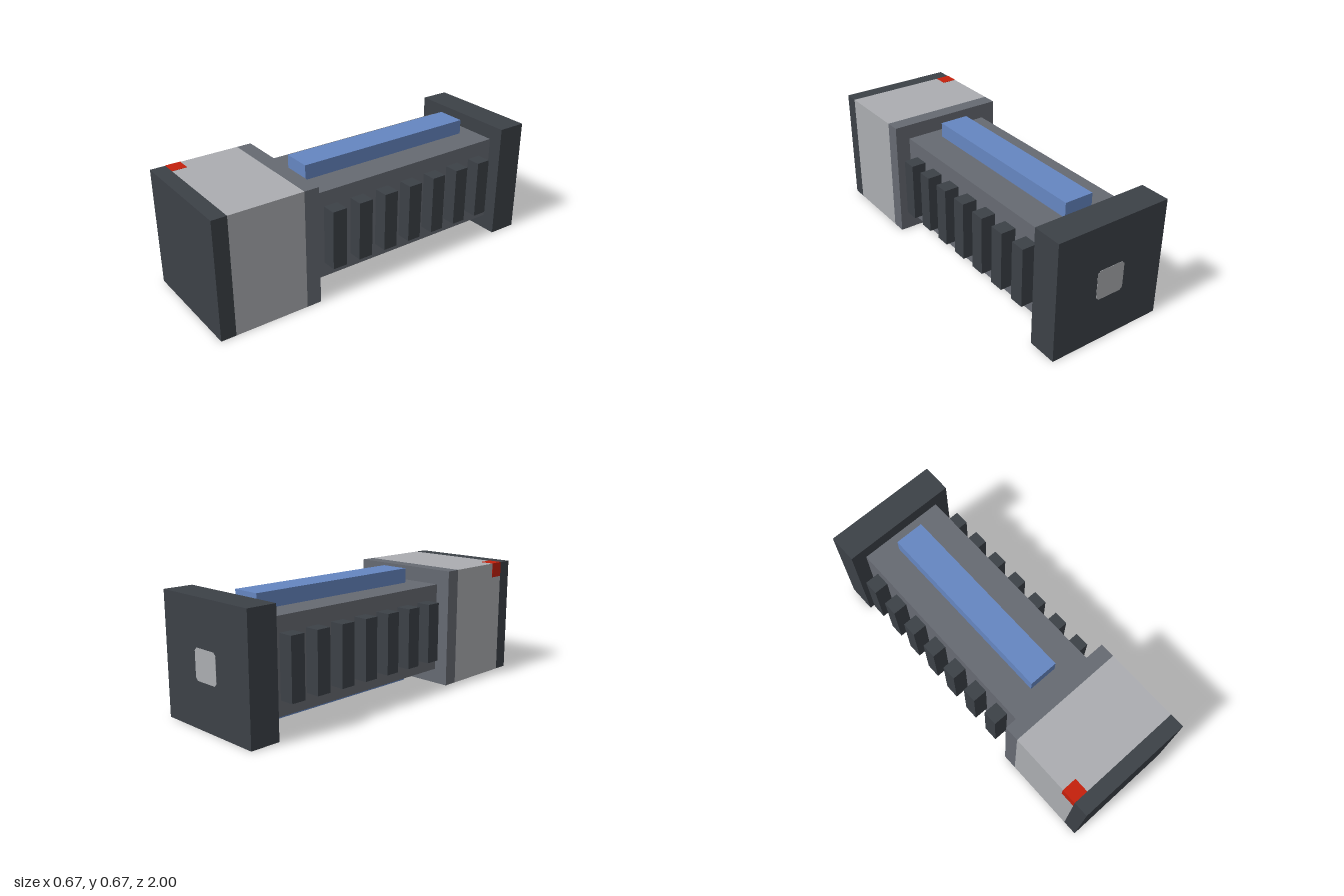
import * as THREE from 'three';

// All parts sit on a grid of 24 units along the length
const U = 1 / 12;

export function createModel() {
  const group = new THREE.Group();
  const material = (name, color) => {
    const m = new THREE.MeshStandardMaterial({ color });
    m.name = name;
    return m;
  };
  const dark = material('dark grey', 0x3c4147);
  const mid = material('mid grey', 0x666a72);
  const light = material('light grey', 0xabadb1);
  const blue = material('blue', 0x6586c1);
  const red = material('red', 0xc4200c);

  // Box between two corners given in grid units
  const block = (name, mat, [x0, y0, z0], [x1, y1, z1]) => {
    const mesh = new THREE.Mesh(
      new THREE.BoxGeometry((x1 - x0) * U, (y1 - y0) * U, (z1 - z0) * U), mat);
    mesh.position.set((x0 + x1) / 2 * U, (y0 + y1) / 2 * U, (z0 + z1) / 2 * U);
    mesh.name = name;
    group.add(mesh);
  };

  // Head: dark cap, light housing, mid grey collar
  block('frontCap', dark, [-4, 0, 11], [4, 8, 12]);
  block('headHousing', light, [-4, 0, 6], [4, 8, 11]);
  block('headCollar', mid, [-4, 0, 5], [4, 8, 6]);

  // Red lamp wrapping the top corner of the housing
  const e = 0.015;
  block('indicatorLamp', red, [-4 - e, 7, 10], [-3, 8 + e, 11]);

  // Handle body and rear flange
  block('handleBody', mid, [-3, 1, -10], [3, 7, 5]);
  block('rearFlange', dark, [-4, 0, -12], [4, 8, -10]);

  // Blue strips above and below
  block('topStrip', blue, [-1, 7, -9], [1, 8, 4]);
  block('bottomStrip', blue, [-1, 0, -9], [1, 1, 4]);

  // Grip ribs on both sides
  for (let i = 0; i < 7; i++) {
    const z = 3 - 2 * i;
    block('leftGripRib', dark, [3, 2, z], [4, 6, z + 1]);
    block('rightGripRib', dark, [-4, 2, z], [-3, 6, z + 1]);
  }

  // Light plate with clipped corners on the rear flange
  const a = U, c = U * 0.82;
  const outline = new THREE.Shape(
    [[-c, -a], [c, -a], [a, -c], [a, c], [c, a], [-c, a], [-a, c], [-a, -c]]
      .map(([x, y]) => new THREE.Vector2(x, y)));
  const plate = new THREE.Mesh(
    new THREE.ExtrudeGeometry(outline, { depth: 0.002, bevelEnabled: false }), light);
  plate.position.set(0, 4 * U, -1.0015);
  plate.name = 'rearPlate';
  group.add(plate);

  return group;
}
